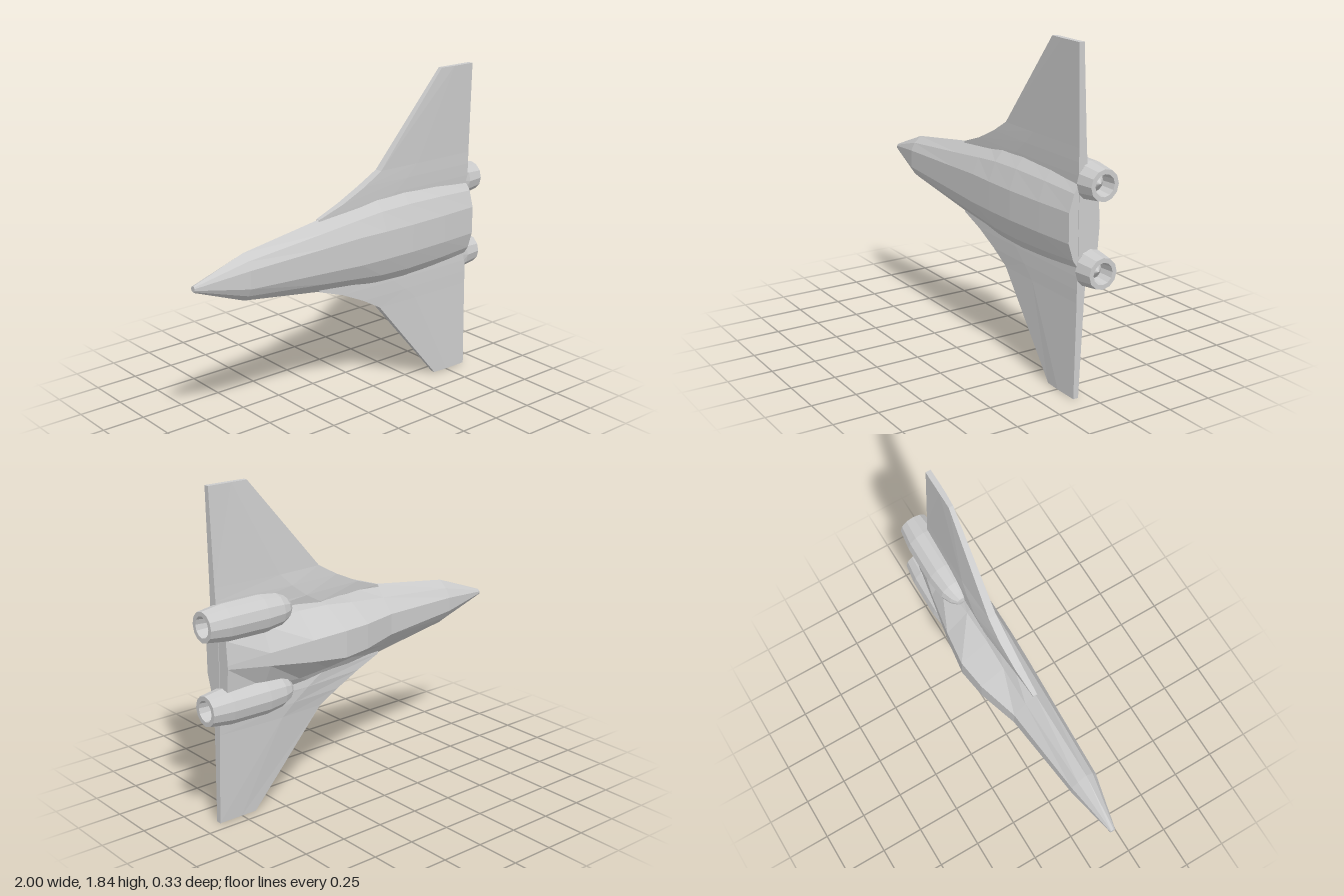
import * as THREE from 'three';

const MID = 0.918; // height of the symmetry plane
const material = new THREE.MeshStandardMaterial({ color: 0xcccccc, flatShading: true });

// Skin a series of equal-length rings of [x, y, z] points and cap both ends.
function loft(rings) {
  const n = rings[0].length, last = (rings.length - 1) * n, index = [];
  for (let i = 0; i < rings.length - 1; i++) {
    for (let j = 0; j < n; j++) {
      const a = i * n + j, b = i * n + (j + 1) % n, c = b + n, d = a + n;
      index.push(a, d, b, b, d, c);
    }
  }
  for (let j = 1; j < n - 1; j++) {
    index.push(0, j, j + 1, last, last + j + 1, last + j);
  }
  const geometry = new THREE.BufferGeometry();
  geometry.setAttribute('position', new THREE.Float32BufferAttribute(rings.flat(2), 3));
  geometry.setIndex(index);
  const flat = geometry.toNonIndexed();
  flat.computeVertexNormals();
  return flat;
}

function addMesh(parent, name, geometry) {
  const mesh = new THREE.Mesh(geometry, material);
  mesh.name = name;
  parent.add(mesh);
  return mesh;
}

// Fuselage: half cross-sections mirrored about the symmetry plane
function fuselageGeometry() {
  // x, belly z, belly half, side half, side z, shoulder half, shoulder z, spine half, spine z
  const stations = [
    [-1.0, 0.07, 0.005, 0.018, 0.06, 0.012, 0.045, 0.005, 0.04],
    [-0.7, 0.135, 0.05, 0.13, 0.07, 0.09, 0.02, 0.04, -0.015],
    [-0.2, 0.15, 0.07, 0.205, 0.06, 0.14, 0.0, 0.06, -0.07],
    [0.03, 0.157, 0.08, 0.24, 0.05, 0.16, 0.0, 0.07, -0.14],
    [0.2, 0.162, 0.08, 0.27, 0.05, 0.18, 0.0, 0.075, -0.165],
    [0.4, 0.162, 0.08, 0.28, 0.05, 0.19, -0.01, 0.06, -0.14],
    [0.65, 0.15, 0.08, 0.27, 0.05, 0.17, -0.03, 0.035, -0.095],
    [0.89, 0.132, 0.08, 0.25, 0.05, 0.14, -0.045, 0.01, -0.055],
  ];
  return loft(stations.map(([x, zf, a, w, zs, sh, zsh, sp, zb]) => {
    const half = [
      [a, zf],
      [a + (w - a) * 0.55, zf - (zf - zs) * 0.35],
      [w, zs],
      [sh, zsh],
      [sp, zb],
    ];
    const mirrored = half.map(([h, z]) => [-h, z]).reverse();
    return [...half, ...mirrored].map(([h, z]) => [x, MID + h, z]);
  }));
}

// Wings: one loft from tip to tip, passing through the fuselage
function wingGeometry() {
  // half span, leading edge x, front z, back z at leading edge, middle, trailing edge
  const stations = [
    [0.15, -0.22, 0.075, 0.05, 0.02, 0.02],
    [0.205, -0.2, 0.075, 0.045, 0.01, 0.02],
    [0.26, -0.04, 0.078, 0.03, 0.005, 0.025],
    [0.33, 0.11, 0.08, 0.025, 0.01, 0.03],
    [0.4, 0.23, 0.08, 0.03, 0.02, 0.035],
    [0.918, 0.66, 0.09, 0.06, 0.06, 0.06],
  ];
  const trailing = 0.893;
  const ring = (side) => ([h, le, zf, zLead, zMid, zTrail]) => {
    const mid = le + (trailing - le) * 0.4, y = MID + side * h;
    return [
      [trailing, y, zf], [mid, y, zf], [le, y, zf - 0.005],
      [le, y, zLead], [mid, y, zMid], [trailing, y, zTrail],
    ];
  };
  return loft([...stations.map(ring(-1)).reverse(), ...stations.map(ring(1))]);
}

// Engine: turned shell with a hollow nozzle and inner cone, flattened inside the wing
function engineGeometry() {
  const profile = [
    [0, 0.455], [0.035, 0.46], [0.065, 0.49], [0.088, 0.54], [0.103, 0.65],
    [0.1, 0.88], [0.097, 0.9], [0.083, 1.0],
    [0.058, 1.0], [0.048, 0.92], [0, 0.965],
  ].map(([r, x]) => new THREE.Vector2(r, x));
  const geometry = new THREE.LatheGeometry(profile, 12).rotateZ(-Math.PI / 2);
  const p = geometry.attributes.position;
  for (let i = 0; i < p.count; i++) {
    if (p.getX(i) < 0.89) p.setZ(i, Math.min(p.getZ(i), 0.07));
  }
  geometry.computeVertexNormals();
  return geometry;
}

export function createModel() {
  const model = new THREE.Group();
  model.name = 'jetAircraft';
  addMesh(model, 'fuselage', fuselageGeometry());
  addMesh(model, 'wings', wingGeometry());
  const engine = engineGeometry();
  for (const [name, side] of [['upperEngine', 1], ['lowerEngine', -1]]) {
    addMesh(model, name, engine).position.y = MID + side * 0.226;
  }
  return model;
}
